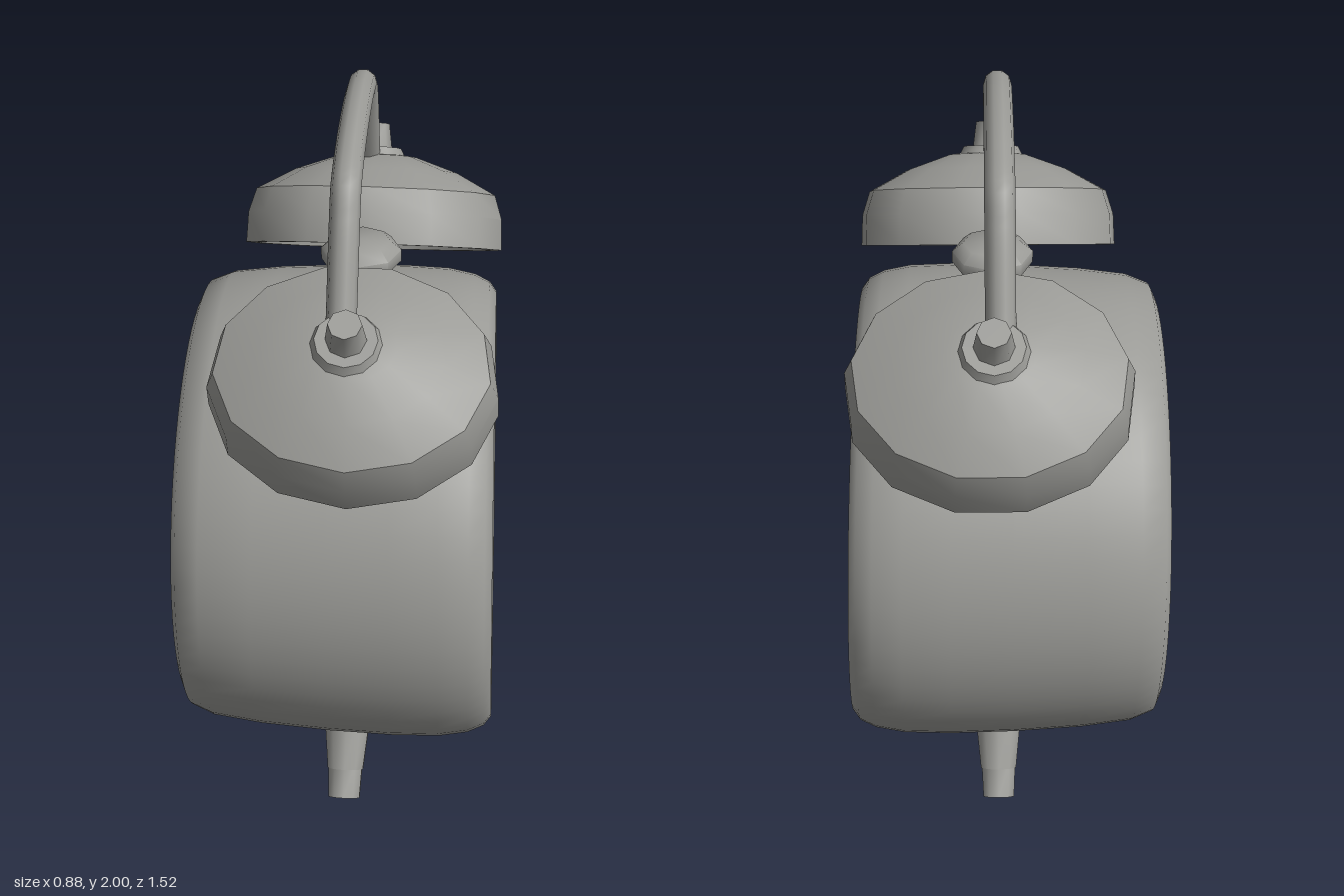
import * as THREE from 'three';
import { toCreasedNormals } from 'three/addons/utils/BufferGeometryUtils.js';

const CENTRE_Y = 0.743;

export function createModel() {
  const model = new THREE.Group();
  model.name = 'alarmClock';
  const grey = new THREE.MeshStandardMaterial({ color: 0x9b9b97 });
  grey.name = 'clay grey';

  const add = (parent, name, geometry) => {
    const mesh = new THREE.Mesh(geometry, grey);
    mesh.name = name;
    parent.add(mesh);
    return mesh;
  };
  const lathe = (profile, sides) =>
    new THREE.LatheGeometry(profile.map(([r, h]) => new THREE.Vector2(r, h)), sides);

  // Turned body pieces lie along x, slightly flattened, front rim leaning back
  const turned = (profile) => {
    const g = lathe(profile, 64);
    g.rotateZ(-Math.PI / 2);
    g.scale(1, 0.967, 1);
    const p = g.attributes.position;
    for (let i = 0; i < p.count; i++) {
      const x = p.getX(i);
      p.setX(i, x - 0.033 * p.getY(i) * Math.max(0, x / 0.44));
    }
    return toCreasedNormals(g, 0.9);
  };

  // Tapered rod between two points
  const rod = (parent, name, a, b, ra, rb, sides = 10) => {
    const from = new THREE.Vector3(...a), to = new THREE.Vector3(...b);
    const dir = to.clone().sub(from);
    const g = new THREE.CylinderGeometry(rb, ra, dir.length(), sides);
    const mesh = add(parent, name, toCreasedNormals(g, 0.9));
    mesh.position.copy(from).add(to).multiplyScalar(0.5);
    mesh.quaternion.setFromUnitVectors(new THREE.Vector3(0, 1, 0), dir.normalize());
    return mesh;
  };

  // Case: back plate, barrel wall and rounded rim
  const body = new THREE.Group();
  body.name = 'body';
  body.position.y = CENTRE_Y;
  model.add(body);
  add(body, 'backPlate', turned([[0, -0.44], [0.61, -0.44]]));
  add(body, 'case', turned([
    [0.61, -0.44], [0.645, -0.425], [0.672, -0.36], [0.69, -0.22], [0.702, -0.02], [0.706, 0.15],
    [0.702, 0.28], [0.687, 0.36], [0.665, 0.405], [0.637, 0.425], [0.61, 0.424], [0.588, 0.41], [0.572, 0.38],
  ]));
  add(body, 'dial', turned([[0.572, 0.38], [0.555, 0.32], [0.51, 0.255], [0.45, 0.22], [0, 0.215]]));

  // Hour markers around the dial
  for (let i = 0; i < 12; i++) {
    const pivot = new THREE.Group();
    pivot.name = 'hourMarker';
    pivot.rotation.x = (i * Math.PI) / 6;
    add(pivot, 'markerBar', new THREE.BoxGeometry(0.12, 0.16, 0.05)).position.set(0.28, 0.478, 0);
    body.add(pivot);
  }

  // Hub and three hands
  rod(body, 'spindle', [0.2, 0, 0], [0.35, 0, 0], 0.03, 0.03);
  add(body, 'hub', new THREE.SphereGeometry(0.058, 16, 12)).position.set(0.35, 0, 0);
  rod(body, 'minuteHand', [0.335, 0, 0], [0.325, 0.36, 0], 0.022, 0.022);
  rod(body, 'hourHand', [0.335, 0, 0], [0.325, 0.24, -0.36], 0.022, 0.03);
  rod(body, 'alarmHand', [0.335, 0, 0], [0.325, -0.285, 0.205], 0.03, 0.012);

  // Shallow-bottomed bells with posts and finials, and the splayed legs
  const bellProfile = [
    [0, 0.05], [0.285, 0.045], [0.3, 0], [0.325, 0],
    [0.322, 0.09], [0.303, 0.16], [0.205, 0.222], [0.1, 0.265], [0, 0.28],
  ];
  for (const side of [1, -1]) {
    const bell = new THREE.Group();
    bell.name = side > 0 ? 'rightBell' : 'leftBell';
    bell.position.set(0.04, 1.357, side * 0.42);
    bell.rotation.x = side * 0.505;
    model.add(bell);
    const shell = lathe(bellProfile, 13);
    shell.scale(1.17, 1, 1);
    add(bell, 'bellShell', toCreasedNormals(shell, 0.6));
    rod(bell, 'bellPost', [-0.01, -0.15, 0], [-0.01, 0.1, 0], 0.057, 0.057);
    rod(bell, 'finialFlange', [-0.01, 0.25, 0], [-0.01, 0.29, 0], 0.1, 0.08, 12);
    rod(bell, 'finial', [-0.01, 0.27, 0], [-0.01, 0.362, 0], 0.055, 0.043, 8);

    rod(model, 'leg', [0.02, 0.26, side * 0.35], [0.02, 0.095, side * 0.47], 0.075, 0.054);
    rod(model, 'foot', [0.02, 0.11, side * 0.46], [0.02, 0.03, side * 0.524], 0.052, 0.047);
  }

  // Carrying handle
  const path = new THREE.CatmullRomCurve3([
    [1.56, 0.52], [1.64, 0.48], [1.85, 0.373], [1.913, 0.325], [1.947, 0.2], [1.961, 0],
    [1.947, -0.2], [1.913, -0.325], [1.85, -0.373], [1.64, -0.48], [1.56, -0.52],
  ].map(([y, z]) => new THREE.Vector3(0.013, y, z)));
  add(model, 'handle', new THREE.TubeGeometry(path, 60, 0.039, 10));

  // Push button on top
  rod(model, 'buttonStem', [0.03, 1.38, 0], [0.03, 1.54, 0], 0.042, 0.042);
  const cap = lathe([[0, 0], [0.08, 0], [0.11, 0.025], [0.11, 0.058], [0.08, 0.084], [0, 0.087]], 8);
  add(model, 'buttonCap', toCreasedNormals(cap, 0.9)).position.set(0.03, 1.512, 0);

  return model;
}
